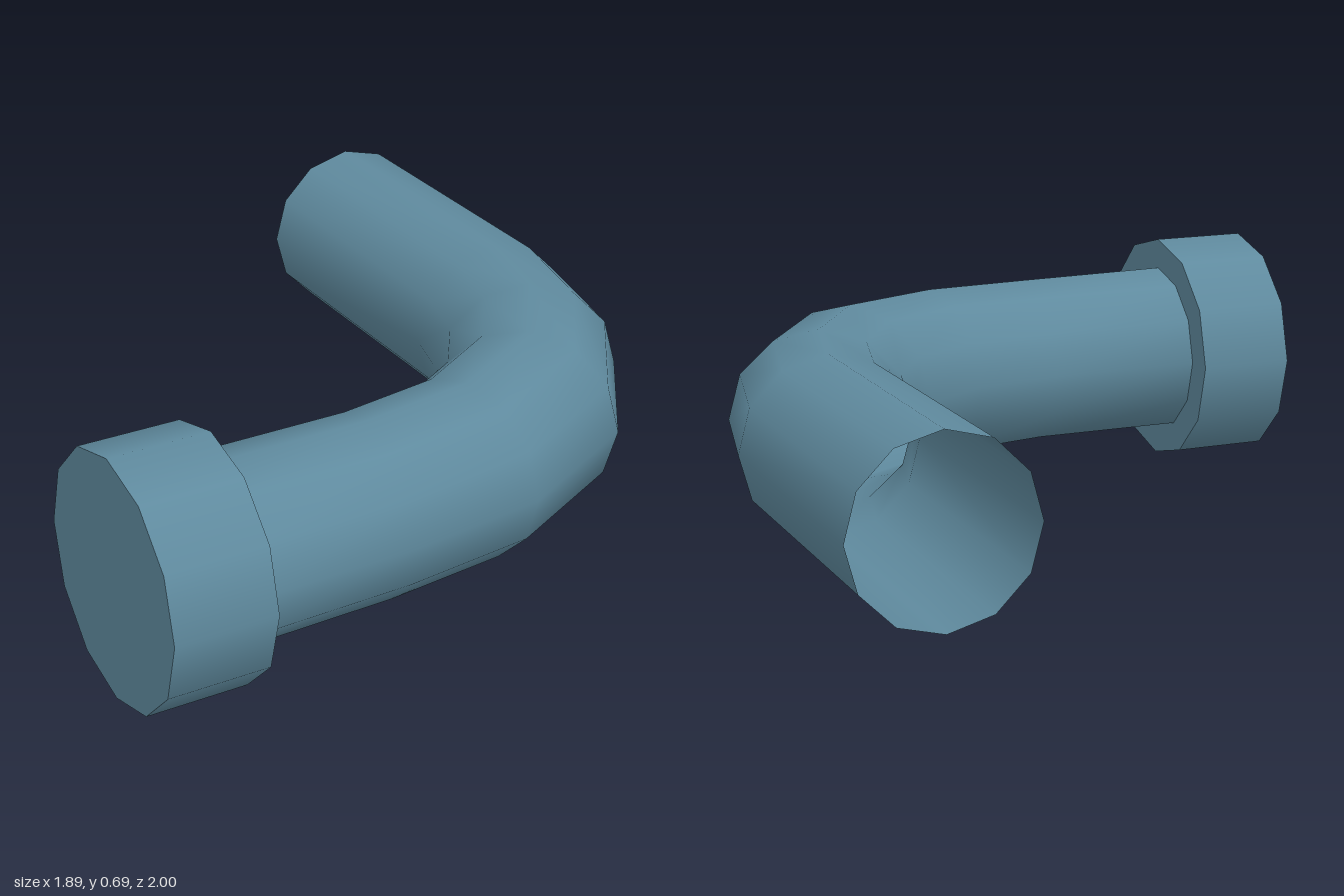
import * as THREE from 'three';

const SIDES = 12;
const AXIS_Y = 0.347;

// Pipe rings as [outer x, outer z, inner x, inner z], from the open end to the collar
const RINGS = [
  [0.945, -1, 0.433, -1],
  [0.945, -0.12, 0.433, -0.13],
  [0.86, 0.27, 0.38, 0.06],
  [0.61, 0.635, 0.265, 0.23],
  [0.2, 0.845, 0.06, 0.35],
  [-0.2, 0.895, -0.2, 0.39],
  [-0.665, 0.907, -0.665, 0.395],
];

// Skin the rings, each a regular polygon between its outer and inner points
function pipeGeometry() {
  const positions = [];
  const index = [];
  RINGS.forEach(([ox, oz, ix, iz], i) => {
    const radius = Math.hypot(ox - ix, oz - iz) / 2;
    for (let j = 0; j < SIDES; j++) {
      const a = (j / SIDES) * Math.PI * 2;
      const t = (1 - Math.cos(a)) / 2;
      positions.push(ox + (ix - ox) * t, AXIS_Y + radius * Math.sin(a), oz + (iz - oz) * t);
      if (i === RINGS.length - 1) continue;
      const p = i * SIDES + j;
      const q = i * SIDES + ((j + 1) % SIDES);
      index.push(p, q, p + SIDES, q, q + SIDES, p + SIDES);
    }
  });
  const geometry = new THREE.BufferGeometry();
  geometry.setAttribute('position', new THREE.Float32BufferAttribute(positions, 3));
  geometry.setIndex(index);
  geometry.computeVertexNormals();
  return geometry;
}

export function createModel() {
  const group = new THREE.Group();
  group.name = 'pipeElbow';
  const material = new THREE.MeshStandardMaterial({ color: 0x5f8a9e, side: THREE.DoubleSide });

  // Bent pipe, open at the back
  const pipe = new THREE.Mesh(pipeGeometry(), material);
  pipe.name = 'bentPipe';
  group.add(pipe);

  // Wide closed collar on the side end
  const collar = new THREE.Mesh(new THREE.CylinderGeometry(AXIS_Y, AXIS_Y, 0.285, SIDES), material);
  collar.name = 'endCollar';
  collar.rotation.z = Math.PI / 2;
  collar.position.set(-0.805, AXIS_Y, 0.653);
  group.add(collar);

  return group;
}
